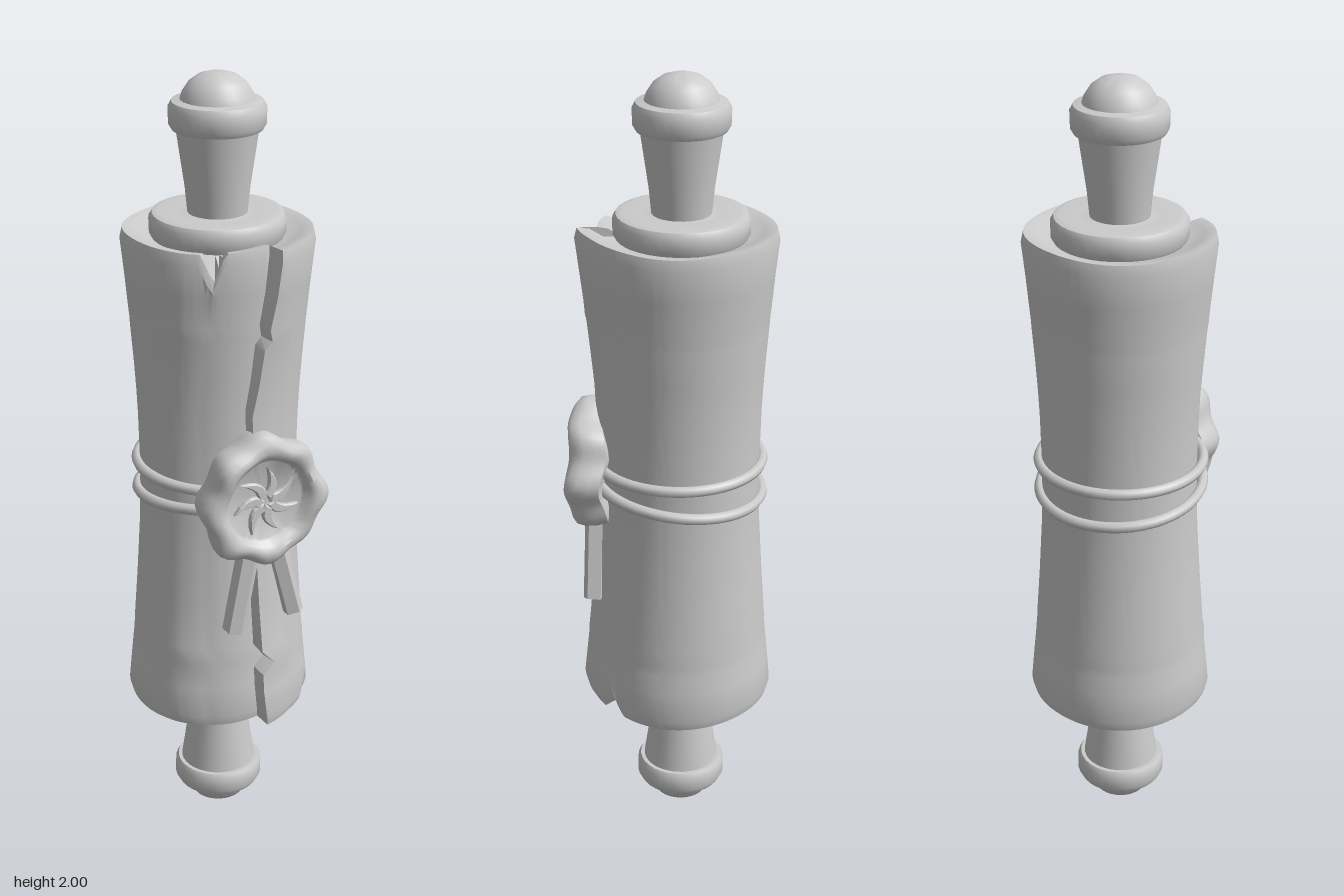
import * as THREE from 'three';
import { toCreasedNormals } from 'three/addons/utils/BufferGeometryUtils.js';

const material = new THREE.MeshStandardMaterial({ color: 0xcccccc });
const AXIS_Z = -0.025;

function addMesh(parent, name, geometry) {
  const mesh = new THREE.Mesh(geometry, material);
  mesh.name = name;
  parent.add(mesh);
  return mesh;
}

// Skins closed cross-sections: point(i / count, row) gives each vertex.
function loft(rows, count, point, crease) {
  const positions = [], index = [];
  rows.forEach((row, j) => {
    for (let i = 0; i < count; i++) {
      positions.push(...point(i / (count - 1), row));
      if (j === rows.length - 1) continue;
      const a = j * count + i, b = j * count + (i + 1) % count;
      index.push(a, b, a + count, b, b + count, a + count);
    }
  });
  const geometry = new THREE.BufferGeometry();
  geometry.setAttribute('position', new THREE.Float32BufferAttribute(positions, 3));
  geometry.setIndex(index);
  return toCreasedNormals(geometry, crease);
}

// Linear interpolation through [x, y] pairs.
function sample(table, x) {
  for (let i = 1; i < table.length; i++) {
    const [x0, y0] = table[i - 1], [x1, y1] = table[i];
    if (x <= x1) return THREE.MathUtils.mapLinear(x, x0, x1, y0, y1);
  }
  return table[table.length - 1][1];
}

// Rolled paper: waisted spiral with an overlapping torn edge and nicked rims.
function paperGeometry() {
  const spiral = [[0, 1.09], [0.06, 1.03], [0.15, 1], [0.78, 1], [0.84, 0.97], [0.9, 0.91], [1, 0.87]];
  // [height, radius, x of the torn edge]
  const rows = [
    [0.385, 0.10, 0.01], [0.385, 0.17, 0.01], [0.365, 0.20, 0.01], [0.36, 0.228, 0.01],
    [0.385, 0.235, 0.005], [0.46, 0.228, 0.0], [0.51, 0.223, 0.0], [0.535, 0.221, 0.035],
    [0.575, 0.218, 0.0], [0.7, 0.209, -0.005], [0.85, 0.2, -0.01], [1, 0.196, -0.015],
    [1.15, 0.199, -0.02], [1.22, 0.202, -0.025], [1.3, 0.207, -0.01], [1.39, 0.214, 0.0],
    [1.41, 0.215, 0.02], [1.44, 0.218, 0.012], [1.52, 0.225, 0.025], [1.605, 0.234, 0.03],
    [1.632, 0.228, 0.035], [1.628, 0.20, 0.035], [1.61, 0.17, 0.035], [1.61, 0.10, 0.035],
  ];
  const nick = (u, at, width, depth) => depth * Math.max(0, 1 - Math.abs(u - at) / width);
  return loft(rows, 121, (u, [y, radius, edge]) => {
    const r = radius * sample(spiral, u);
    const angle = u * Math.PI * 2 + edge / 0.23;
    const wave = 0.004 * Math.sin(angle * 3);
    if (radius > 0.19 && y > 1.6) y += wave - nick(u, 0.89, 0.022, 0.07);
    if (radius > 0.19 && y < 0.4) y += wave + nick(u, 0.125, 0.022, 0.045);
    return [r * Math.sin(angle), y, AXIS_Z + r * Math.cos(angle)];
  }, 0.65);
}

// Turned rod end: flange, flared grip, collar and domed knob.
function rodEndGeometry() {
  const points = [
    [0, 0.6], [0.152, 0.6], [0.164, 0.62], [0.165, 0.655], [0.157, 0.668], [0.142, 0.672],
    [0.095, 0.665], [0.072, 0.668], [0.078, 0.73], [0.098, 0.868], [0.108, 0.868],
    [0.115, 0.88], [0.116, 0.918], [0.108, 0.933], [0.088, 0.937], [0.083, 0.952],
    [0.068, 0.975], [0.046, 0.991], [0.022, 0.998], [0, 1],
  ].map(([x, y]) => new THREE.Vector2(x, y));
  return toCreasedNormals(new THREE.LatheGeometry(points, 32), 0.7);
}

// Cord loop that pinches together behind the seal.
function cordGeometry(side) {
  const points = [];
  for (let i = 0; i < 32; i++) {
    const a = i / 32 * Math.PI * 2, front = (1 + Math.cos(a)) / 2;
    const r = 0.203 + 0.012 * front ** 3;
    const y = 0.985 + 0.02 * front + side * (0.046 - 0.022 * front);
    points.push(new THREE.Vector3(r * Math.sin(a), y, AXIS_Z + r * Math.cos(a)));
  }
  return new THREE.TubeGeometry(new THREE.CatmullRomCurve3(points, true), 80, 0.014, 8, true);
}

// Wax seal: lobed blob with a raised rim around a sunken disc.
function sealGeometry() {
  // [radius, z, how strongly the outline is lobed]
  const rows = [
    [0, 0.16, 0], [0.13, 0.15, 1], [0.152, 0.155, 1], [0.16, 0.18, 1], [0.163, 0.21, 1],
    [0.158, 0.232, 1], [0.145, 0.243, 0.9], [0.128, 0.246, 0.6], [0.114, 0.238, 0.3],
    [0.106, 0.22, 0.1], [0.1, 0.216, 0], [0, 0.218, 0],
  ];
  return loft(rows, 97, (u, [radius, z, lobed]) => {
    const a = u * Math.PI * 2;
    const r = radius * (1 + lobed * (0.045 * Math.cos(8 * a) + 0.02 * Math.cos(3 * a + 1)));
    const bend = 0.008 * lobed * Math.cos(5 * a + 0.6);
    return [r * Math.cos(a), 1.005 + r * Math.sin(a) * 1.02, z + bend];
  }, 0.8);
}

// Curved blade used for the pinwheel relief.
function bladeGeometry() {
  const shape = new THREE.Shape();
  shape.moveTo(0.012, 0);
  shape.quadraticCurveTo(0.055, -0.012, 0.07, 0.052);
  shape.quadraticCurveTo(0.046, 0.014, 0.016, 0.016);
  shape.closePath();
  return new THREE.ExtrudeGeometry(shape, {
    depth: 0.008, curveSegments: 6, bevelThickness: 0.004, bevelSize: 0.003, bevelSegments: 1,
  });
}

// Ribbon tail: ridged strip hanging down from its local origin.
function tailGeometry(length) {
  const shape = new THREE.Shape([
    [-0.023, -0.022], [0.023, -0.022], [0.023, 0.012], [0.006, 0.024], [-0.023, 0.014],
  ].map(([x, y]) => new THREE.Vector2(x, y)));
  const geometry = new THREE.ExtrudeGeometry(shape, { depth: length, bevelEnabled: false });
  // The extrusion runs along -y with the ridge facing +z.
  return geometry.rotateX(Math.PI / 2).scale(1, 1, -1).rotateY(Math.PI).scale(-1, 1, 1);
}

export function createModel() {
  const model = new THREE.Group();
  model.name = 'sealedScroll';

  addMesh(model, 'rolledPaper', paperGeometry());

  // Matching rod ends, the lower one turned over.
  for (const [name, turn] of [['upperRodEnd', 0], ['lowerRodEnd', Math.PI]]) {
    const end = addMesh(model, name, rodEndGeometry());
    end.position.set(0, 1, AXIS_Z);
    end.rotation.x = turn;
  }

  for (const side of [1, -1]) {
    addMesh(model, side > 0 ? 'upperCord' : 'lowerCord', cordGeometry(side));
  }

  addMesh(model, 'waxSeal', sealGeometry());

  // Pinwheel relief pressed into the wax.
  const relief = new THREE.Group();
  relief.name = 'sealRelief';
  relief.position.set(0, 1.005, 0.217);
  const blade = bladeGeometry();
  for (let i = 0; i < 7; i++) {
    addMesh(relief, 'reliefBlade', blade).rotation.z = i / 7 * Math.PI * 2;
  }
  model.add(relief);

  // Two ribbon tails splaying out below the seal.
  for (const [name, x, length, tilt] of [['rightTail', -0.022, 0.25, -0.19], ['leftTail', 0.04, 0.235, 0.26]]) {
    const tail = addMesh(model, name, tailGeometry(length));
    tail.position.set(x, 0.89, 0.19);
    tail.rotation.z = tilt;
  }

  return model;
}
